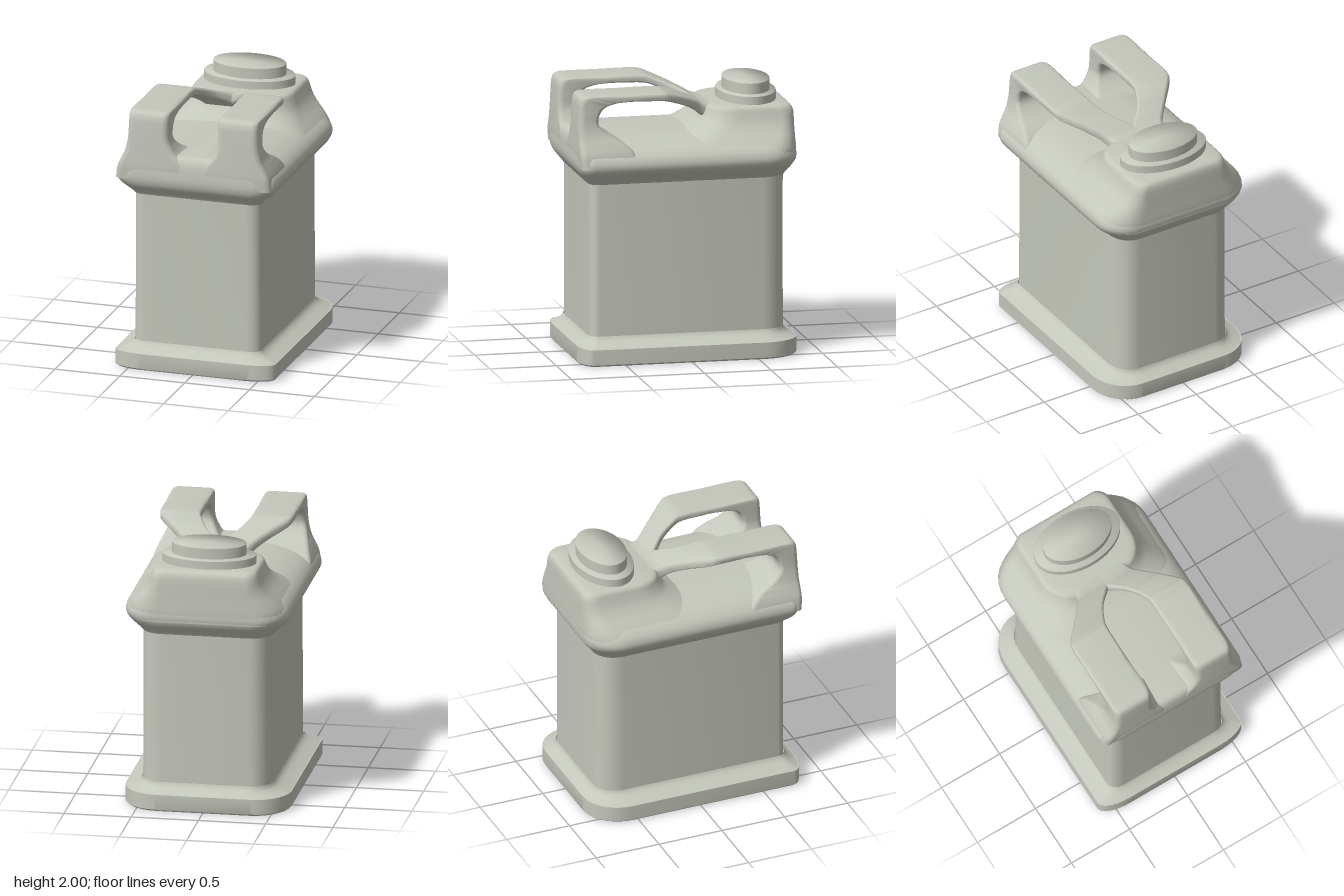
import * as THREE from 'three';
import { toCreasedNormals } from 'three/addons/utils/BufferGeometryUtils.js';

// Rounded rectangle; separate corner radii for the high-v and low-v ends.
function ring(x0, x1, v0, v1, fx, fv, bx, bv) {
  const pts = [], K = 7;
  const mx = (x1 - x0) * 0.49, mv = (v1 - v0) * 0.49;
  fx = Math.min(fx, mx); bx = Math.min(bx, mx);
  fv = Math.min(fv, mv); bv = Math.min(bv, mv);
  const corners = [
    [x1 - fx, v1 - fv, fx, fv, Math.PI / 2],
    [x1 - bx, v0 + bv, bx, bv, 0],
    [x0 + bx, v0 + bv, bx, bv, -Math.PI / 2],
    [x0 + fx, v1 - fv, fx, fv, -Math.PI],
  ];
  for (const [cx, cv, rx, rv, start] of corners) {
    for (let i = 0; i <= K; i++) {
      const a = start - (i / K) * Math.PI / 2;
      pts.push([cx + rx * Math.cos(a), cv + rv * Math.sin(a)]);
    }
  }
  return pts;
}

// Catmull-Rom refinement of rows of section parameters.
function refine(rows, n) {
  const out = [];
  const at = i => rows[Math.max(0, Math.min(rows.length - 1, i))];
  for (let i = 0; i < rows.length - 1; i++) {
    for (let j = 0; j < n; j++) {
      const t = j / n;
      out.push(rows[i].map((b, k) => {
        const a = at(i - 1)[k], c = at(i + 1)[k], d = at(i + 2)[k];
        return b + 0.5 * t * (c - a + t * (2 * a - 5 * b + 4 * c - d + t * (3 * (b - c) + d - a)));
      }));
    }
  }
  out.push(rows[rows.length - 1]);
  return out;
}

// Skin a list of equal-length rings and close both ends.
function loft(rings, crease = 0.7) {
  const n = rings[0].length, pos = rings.flat(2), idx = [];
  for (let j = 0; j < rings.length - 1; j++) {
    for (let i = 0; i < n; i++) {
      const a = j * n + i, b = j * n + (i + 1) % n;
      idx.push(a, b, b + n, a, b + n, a + n);
    }
  }
  [rings[0], rings[rings.length - 1]].forEach((r, end) => {
    const c = pos.length / 3, base = end ? (rings.length - 1) * n : 0;
    for (let k = 0; k < 3; k++) pos.push(r.reduce((s, p) => s + p[k], 0) / n);
    for (let i = 0; i < n; i++) {
      const p = base + i, q = base + (i + 1) % n;
      if (end) idx.push(c, p, q); else idx.push(c, q, p);
    }
  });
  const g = new THREE.BufferGeometry();
  g.setAttribute('position', new THREE.Float32BufferAttribute(pos, 3));
  g.setIndex(idx);
  return toCreasedNormals(g, crease);
}

// Rows: y, half width, back z, front z, front radii x z, back radii x z.
const stack = rows => loft(rows.map(([y, hx, zb, zf, ...r]) =>
  ring(-hx, hx, zb, zf, ...r).map(([x, z]) => [x, y, z])));

export function createModel() {
  const group = new THREE.Group();
  const plastic = new THREE.MeshStandardMaterial({ color: 0xc4c7bb });
  plastic.name = 'pale grey plastic';
  const add = (name, geometry) => {
    const mesh = new THREE.Mesh(geometry, plastic);
    mesh.name = name;
    group.add(mesh);
    return mesh;
  };

  // Foot plate with a small bottom bevel
  const foot = [0.22, 0.09, 0.26, 0.28];
  add('footPlate', stack([
    [0, 0.605, -0.82, 0.82, ...foot],
    [0.012, 0.617, -0.83, 0.83, ...foot],
    [0.125, 0.617, -0.83, 0.83, ...foot],
  ]));

  // Straight tank with flared foot, bulging shoulder and domed top
  const wall = [0.1, 0.07, 0.16, 0.18], bulge = [0.16, 0.1, 0.24, 0.26];
  add('tank', stack(refine([
    [0.124, 0.612, -0.826, 0.826, ...foot],
    [0.145, 0.565, -0.795, 0.795, ...foot],
    [0.17, 0.515, -0.76, 0.765, 0.14, 0.08, 0.2, 0.22],
    [0.2, 0.49, -0.742, 0.744, ...wall],
    [0.25, 0.485, -0.738, 0.738, ...wall],
    [1.28, 0.482, -0.738, 0.738, ...wall],
    [1.335, 0.49, -0.745, 0.745, ...wall],
    [1.375, 0.53, -0.775, 0.775, 0.12, 0.08, 0.19, 0.21],
    [1.42, 0.583, -0.81, 0.81, ...bulge],
    [1.46, 0.607, -0.825, 0.825, ...bulge],
    [1.5, 0.611, -0.828, 0.83, ...bulge],
    [1.55, 0.59, -0.82, 0.829, ...bulge],
    [1.6, 0.53, -0.8, 0.826, ...bulge],
    [1.64, 0.43, -0.76, 0.818, ...bulge],
    [1.668, 0.28, -0.7, 0.8, 0.12, 0.1, 0.15, 0.2],
    [1.678, 0.1, -0.6, 0.77, 0.06, 0.06, 0.06, 0.06],
  ], 3)));

  // Raised shoulder under the filler neck
  add('neckShoulder', stack(refine([
    [1.45, 0.6, -0.825, 0.25, 0.3, 0.3, 0.24, 0.26],
    [1.53, 0.59, -0.828, 0.18, 0.3, 0.3, 0.23, 0.23],
    [1.6, 0.535, -0.827, 0.1, 0.3, 0.3, 0.2, 0.18],
    [1.67, 0.465, -0.826, -0.03, 0.25, 0.27, 0.15, 0.14],
    [1.73, 0.422, -0.825, -0.13, 0.21, 0.24, 0.11, 0.12],
    [1.79, 0.398, -0.822, -0.17, 0.2, 0.23, 0.09, 0.11],
    [1.825, 0.385, -0.812, -0.182, 0.2, 0.22, 0.09, 0.11],
    [1.842, 0.368, -0.795, -0.2, 0.19, 0.21, 0.09, 0.1],
    [1.85, 0.335, -0.765, -0.23, 0.17, 0.19, 0.08, 0.09],
  ], 3)));

  // Two handle arms, swept from the front legs back to the neck.
  // Rows: outer z y, inner z y, inner x, outer x.
  const armRows = refine([
    [0.82, 1.47, 0.4, 1.47, 0.04, 0.6],
    [0.829, 1.56, 0.42, 1.57, 0.06, 0.585],
    [0.83, 1.63, 0.5, 1.65, 0.09, 0.553],
    [0.83, 1.69, 0.61, 1.71, 0.145, 0.525],
    [0.829, 1.78, 0.675, 1.78, 0.185, 0.506],
    [0.825, 1.88, 0.67, 1.85, 0.19, 0.5],
    [0.818, 1.955, 0.63, 1.905, 0.19, 0.497],
    [0.79, 1.993, 0.56, 1.932, 0.19, 0.496],
    [0.7, 2, 0.48, 1.942, 0.19, 0.496],
    [0.4, 2, 0.36, 1.944, 0.19, 0.496],
    [0.2, 1.999, 0.2, 1.94, 0.188, 0.494],
    [0.13, 1.985, 0.12, 1.92, 0.172, 0.465],
    [0, 1.935, 0, 1.868, 0.105, 0.357],
    [-0.1, 1.89, -0.09, 1.815, 0.012, 0.275],
    [-0.17, 1.857, -0.16, 1.76, -0.05, 0.232],
    [-0.28, 1.846, -0.28, 1.72, -0.05, 0.22],
  ], 4);
  for (const side of [1, -1]) {
    const rings = armRows.map(([zo, yo, zi, yi, xi, xo]) => {
      const dz = zo - zi, dy = yo - yi, len = Math.hypot(dz, dy);
      const xa = Math.min(side * xi, side * xo), xb = Math.max(side * xi, side * xo);
      const r = Math.min(0.045, len * 0.4);
      return ring(xa, xb, 0, len, r, r, r * 0.7, r * 0.7)
        .map(([x, u]) => [x, yi + dy * u / len, zi + dz * u / len]);
    });
    add(side > 0 ? 'leftHandleArm' : 'rightHandleArm', loft(rings, 0.8));
  }

  // Stepped oval filler cap
  const oval = (name, rx, rz, y0, y1) => {
    const h = y1 - y0, e = 0.006;
    const p = [[0, 0], [1, 0], [1, h - e], [1 - e * 3, h], [0, h]].map(q => new THREE.Vector2(...q));
    const g = toCreasedNormals(new THREE.LatheGeometry(p, 48), 0.5);
    g.scale(rx, 1, rz);
    add(name, g).position.set(0, y0, -0.535);
  };
  oval('neckCollar', 0.347, 0.214, 1.82, 1.915);
  oval('fillerCap', 0.276, 0.17, 1.9, 2);

  return group;
}
